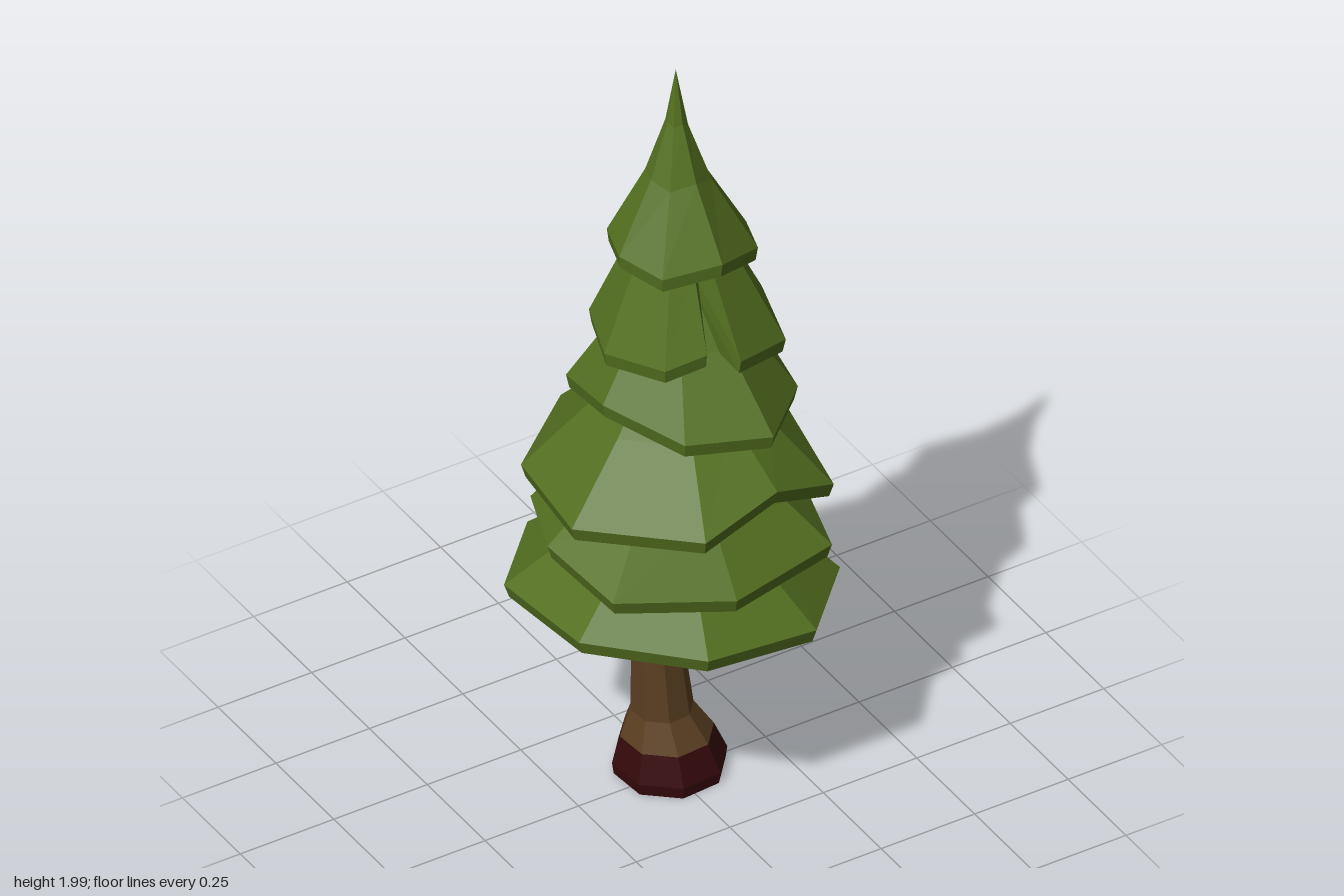
import * as THREE from 'three';

const needles = new THREE.MeshStandardMaterial({ color: 0x547020, flatShading: true });
needles.name = 'needle green';
const bark = new THREE.MeshStandardMaterial({ color: 0x5c4022, flatShading: true });
bark.name = 'bark brown';
const root = new THREE.MeshStandardMaterial({ color: 0x36090b, flatShading: true });
root.name = 'root maroon';

// Skins rings of [x, y, z] points, listed from bottom to top, into a faceted surface
function loft(rings) {
  const pos = [];
  const tri = (a, b, c) => {
    const same = (p, q) => p.every((v, k) => v === q[k]);
    if (!same(a, b) && !same(b, c) && !same(a, c)) pos.push(...a, ...b, ...c);
  };
  for (let r = 0; r < rings.length - 1; r++) {
    const lo = rings[r], up = rings[r + 1], n = lo.length;
    for (let i = 0; i < n; i++) {
      const j = (i + 1) % n;
      tri(lo[j], lo[i], up[i]);
      tri(lo[j], up[i], up[j]);
    }
  }
  const geo = new THREE.BufferGeometry();
  geo.setAttribute('position', new THREE.Float32BufferAttribute(pos, 3));
  geo.computeVertexNormals();
  return geo;
}

// Branch tier: a drooping rim of [x, z, y] points, rising through steps of [scale, rise]
function tier(name, rim, topY, steps, hollow) {
  const axis = 0.01;
  const ring = (s, rise, drop = 0) => rim.map(([x, z, y]) =>
    [axis + (x - axis) * s, y + (topY - y) * rise - drop, z * s]);
  const meanY = rim.reduce((sum, p) => sum + p[2], 0) / rim.length;
  const under = rim.map(() => [axis, meanY - 0.035 + hollow, 0]);
  const rings = [under, ring(0.97, 0, 0.036), ring(1, 0), ...steps.map(([s, t]) => ring(s, t))];
  const mesh = new THREE.Mesh(loft(rings), needles);
  mesh.name = name;
  return mesh;
}

// Trunk section from [y, radius, centreX, centreZ] levels
function trunkPart(name, levels, material, closed) {
  const rings = levels.map(([y, r, cx, cz]) => Array.from({ length: 8 }, (_, i) => {
    const a = (i + 0.4) * Math.PI / 4;
    return [cx + r * Math.cos(a), y, cz + r * Math.sin(a)];
  }));
  if (closed) rings.unshift(rings[0].map(() => [levels[0][2], levels[0][0], levels[0][3]]));
  const mesh = new THREE.Mesh(loft(rings), material);
  mesh.name = name;
  return mesh;
}

export function createModel() {
  const tree = new THREE.Group();
  tree.name = 'pineTree';

  // Flared root collar and leaning trunk
  tree.add(trunkPart('rootCollar',
    [[0, 0.131, 0.008, -0.023], [0.03, 0.135, 0.008, -0.023], [0.105, 0.11, 0, -0.022]], root, true));
  tree.add(trunkPart('trunk',
    [[0.105, 0.11, 0, -0.022], [0.18, 0.074, -0.013, -0.023], [0.62, 0.043, -0.045, -0.018]], bark, false));

  const slope = [[0.56, 0.5], [0.2, 1], [0, 1]];

  // Bottom tier: a regular octagon tilted towards the left
  const skirt = Array.from({ length: 8 }, (_, i) => {
    const a = THREE.MathUtils.degToRad(19.5 + i * 45);
    const x = 0.391 * Math.cos(a), z = 0.391 * Math.sin(a);
    return [x, z, 0.555 - 0.125 * x + 0.07 * z];
  });
  tree.add(tier('branchTier1', skirt, 0.85, slope, 0.02));

  // Ragged tiers above
  tree.add(tier('branchTier2', [
    [0.345, 0, 0.70], [0.27, 0.255, 0.70], [-0.03, 0.33, 0.705], [-0.30, 0.23, 0.74],
    [-0.333, 0, 0.77], [-0.23, -0.24, 0.72], [0, -0.338, 0.74], [0.25, -0.24, 0.71],
  ], 1.02, slope, 0.03));
  tree.add(tier('branchTier3', [
    [0.328, -0.085, 0.91], [0.275, 0.255, 0.87], [0.09, 0.31, 0.955], [-0.12, 0.34, 0.91],
    [-0.333, 0.105, 0.885], [-0.305, -0.16, 0.89], [-0.1, -0.32, 0.905], [0.165, -0.293, 0.90],
  ], 1.22, slope, 0.03));
  tree.add(tier('branchTier4', [
    [0.292, -0.075, 1.085], [0.25, 0.14, 1.085], [0.08, 0.31, 1.115], [-0.12, 0.25, 1.13],
    [-0.222, 0.06, 1.165], [-0.2, -0.135, 1.12], [-0.04, -0.253, 1.095], [0.155, -0.23, 1.09],
  ], 1.46, slope, 0.03));
  // The fifth tier is split at the front
  tree.add(tier('branchTier5', [
    [0.24, 0, 1.285], [0.19, 0.185, 1.27], [0.03, 0.25, 1.31], [0.008, 0.1, 1.45],
    [-0.03, 0.2, 1.32], [-0.13, 0.18, 1.30], [-0.197, 0.025, 1.28],
    [-0.145, -0.125, 1.29], [0.02, -0.178, 1.33], [0.205, -0.14, 1.31],
  ], 1.7, slope, 0.03));

  // Pointed crown, split on its left
  tree.add(tier('crown', [
    [0.198, 0, 1.485], [0.165, 0.105, 1.49], [0.03, 0.17, 1.535], [-0.1, 0.12, 1.51],
    [-0.157, 0.025, 1.54], [-0.125, -0.08, 1.54], [-0.005, -0.155, 1.53],
    [0.04, -0.135, 1.535], [0.14, -0.085, 1.52], [0.1, -0.012, 1.57],
  ], 1.99, [[0.44, 0.38], [0.15, 0.69], [0, 1]], 0.04));

  return tree;
}
